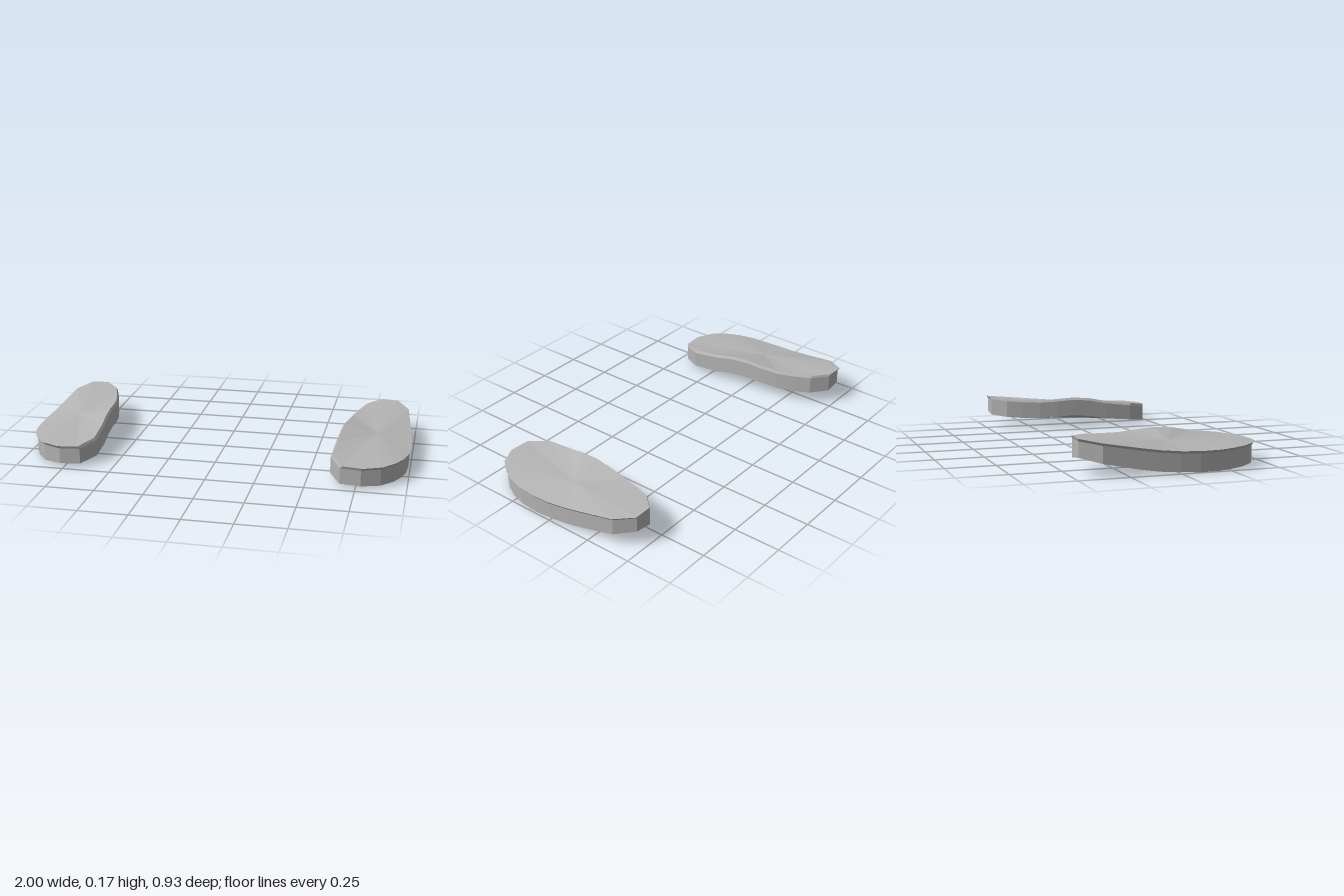
import * as THREE from 'three';

// Outline of one sole: x, z, top height, bottom height (heel, outer side, toe, inner side)
const outline = [
  [0.80, -0.468, 0.177, 0.073], [0.893, -0.466, 0.174, 0.085], [0.958, -0.37, 0.158, 0.062],
  [0.977, -0.2, 0.131, 0.03], [0.988, -0.1, 0.117, 0.016], [0.998, 0, 0.108, 0.010],
  [1.0, 0.1, 0.104, 0.003], [0.992, 0.2, 0.104, 0.003], [0.973, 0.275, 0.106, 0.005],
  [0.94, 0.345, 0.108, 0.007], [0.88, 0.42, 0.109, 0.010], [0.785, 0.464, 0.110, 0.015],
  [0.68, 0.455, 0.112, 0.018], [0.622, 0.35, 0.128, 0.030], [0.628, 0.2, 0.146, 0.042],
  [0.636, 0.1, 0.165, 0.060], [0.643, 0, 0.173, 0.068], [0.652, -0.1, 0.166, 0.062],
  [0.668, -0.2, 0.160, 0.055], [0.695, -0.3, 0.164, 0.058], [0.727, -0.39, 0.170, 0.064],
];

function soleGeometry(side) {
  // Three rings: overhanging top rim, underside of the rim, bottom edge
  const rings = [
    outline.map(([x, z, t]) => [x, t, z]),
    outline.map(([x, z, t]) => [x - 0.01, t - 0.013, z * 0.988]),
    outline.map(([x, z, , b]) => [x - 0.01, b, z * 0.988]),
  ];
  const topCentre = [0.82, 0.135, 0], bottomCentre = [0.81, 0.036, 0];
  const positions = [];
  const tri = (a, b, c) => {
    for (const p of side > 0 ? [a, b, c] : [a, c, b]) positions.push(p[0] * side, p[1], p[2]);
  };
  const n = outline.length;
  for (let i = 0; i < n; i++) {
    const j = (i + 1) % n;
    tri(topCentre, rings[0][j], rings[0][i]);
    tri(bottomCentre, rings[2][i], rings[2][j]);
    for (let r = 0; r < 2; r++) {
      const [u, l] = [rings[r], rings[r + 1]];
      tri(u[i], u[j], l[i]);
      tri(u[j], l[j], l[i]);
    }
  }
  const geometry = new THREE.BufferGeometry();
  geometry.setAttribute('position', new THREE.Float32BufferAttribute(positions, 3));
  geometry.computeVertexNormals(); // unshared corners keep every facet flat
  return geometry;
}

export function createModel() {
  const group = new THREE.Group();
  group.name = 'solePair';
  const grey = new THREE.MeshStandardMaterial({ color: 0xb4b4b4 });
  grey.name = 'soleGrey';
  for (const [name, side] of [['leftSole', 1], ['rightSole', -1]]) {
    const sole = new THREE.Mesh(soleGeometry(side), grey);
    sole.name = name;
    group.add(sole);
  }
  return group;
}
